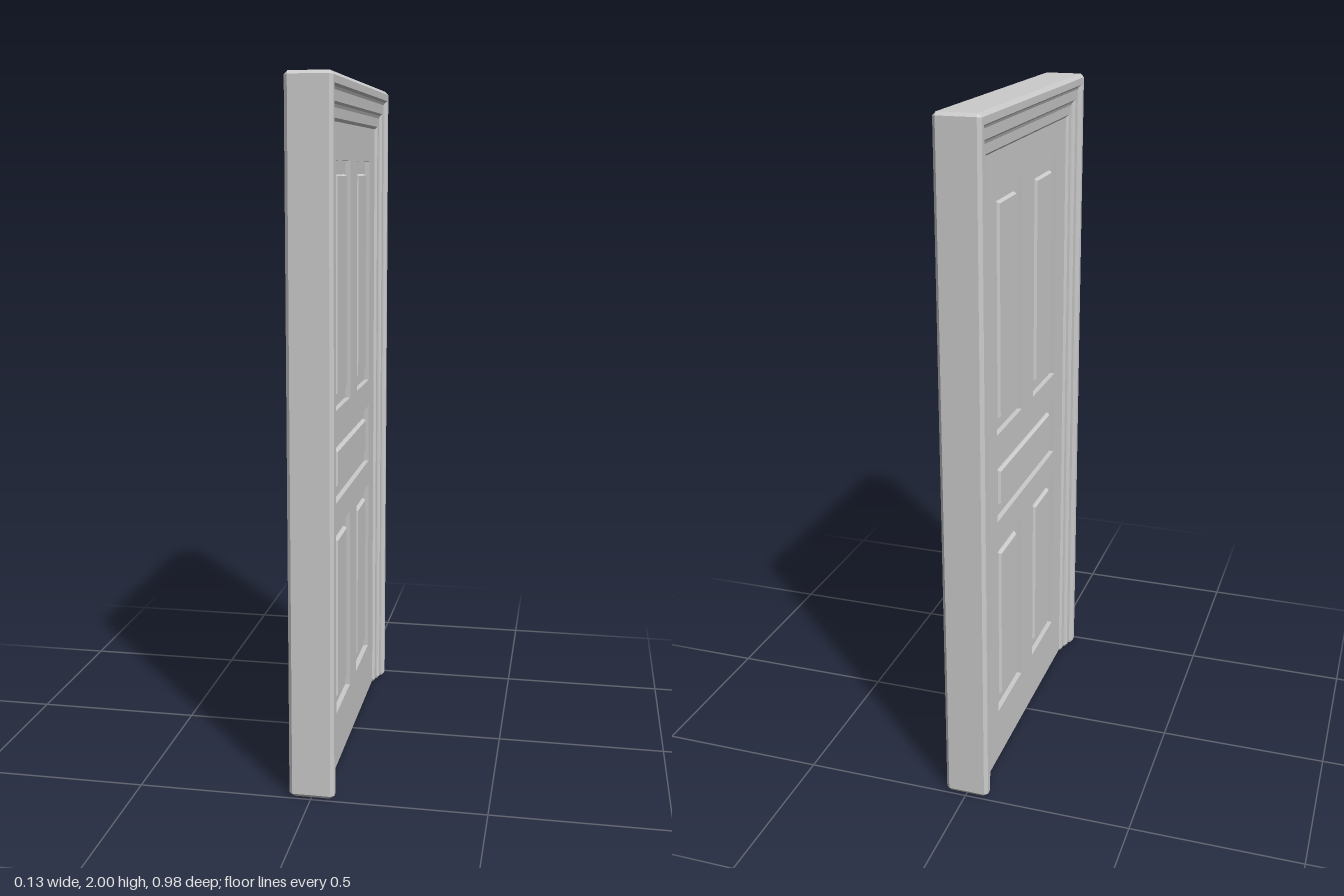
import * as THREE from 'three';

const material = new THREE.MeshStandardMaterial({ color: 0xcccccc, flatShading: true });
const HALF_WIDTH = 0.49, HEIGHT = 2;
const DOOR = 0.035;      // half thickness of the door leaf
const CORE = 0.02;       // half thickness at the bottom of the panel recesses
const MARGIN = 0.038;    // flat band around each raised panel

// Moulding section: [distance in from the outer edge, half depth]
const MOULDING = [
  [0, 0.055], [0.009, 0.065], [0.026, 0.065], [0.031, 0.057], [0.037, 0.054],
  [0.062, 0.053], [0.067, 0.047], [0.074, 0.044], [0.097, 0.043], [0.102, 0.037], [0.107, 0.03],
];

// Panel openings: [z min, y min, z max, y max]
const PANELS = [
  [0.058, 1.08, 0.29, 1.775], [-0.29, 1.08, -0.058, 1.775],
  [-0.29, 0.81, 0.29, 0.995],
  [0.058, 0.17, 0.29, 0.73], [-0.29, 0.17, -0.058, 0.73],
];

function add(parent, name, geometry) {
  const mesh = new THREE.Mesh(geometry, material);
  mesh.name = name;
  parent.add(mesh);
  return mesh;
}

function rectangle(PathType, [x0, y0, x1, y1]) {
  const path = new PathType();
  path.moveTo(x0, y0).lineTo(x1, y0).lineTo(x1, y1).lineTo(x0, y1).closePath();
  return path;
}

// Sweeps the mirrored moulding section up one jamb, across the head and down the other
function frameGeometry() {
  const section = [...MOULDING, ...MOULDING.map(([d, x]) => [d, -x]).reverse()];
  const corner = (d) => Math.max(0, 0.009 - d);
  const foot = (s) => ([d, x]) => [x * 0.9, 0, s * (HALF_WIDTH - (d + (0.053 - d) * 0.1))];
  const ankle = (s) => ([d, x]) => [x, 0.008, s * (HALF_WIDTH - d)];
  const shoulder = (s) => ([d, x]) => [x, HEIGHT - 1.18 * d - corner(d), s * (HALF_WIDTH - d)];
  const head = (s) => ([d, x]) => [x, HEIGHT - 1.18 * d, s * (HALF_WIDTH - d - corner(d))];
  const stations = [foot(1), ankle(1), shoulder(1), head(1), head(-1), shoulder(-1), ankle(-1), foot(-1)];

  const n = section.length;
  const positions = stations.flatMap((place) => section.flatMap(place));
  const index = [];
  for (let i = 0; i < stations.length - 1; i++) {
    for (let j = 0; j < n; j++) {
      const k = (j + 1) % n;
      const a = i * n + j, b = i * n + k, c = a + n, d = b + n;
      index.push(a, b, c, b, d, c);
    }
  }
  // End caps under both jambs
  const last = (stations.length - 1) * n;
  for (let j = 0; j < MOULDING.length - 1; j++) {
    const a = j, b = n - 1 - j, c = j + 1, d = n - 2 - j;
    index.push(a, b, c, b, d, c);
    index.push(last + a, last + c, last + b, last + b, last + c, last + d);
  }
  const indexed = new THREE.BufferGeometry();
  indexed.setAttribute('position', new THREE.Float32BufferAttribute(positions, 3));
  indexed.setIndex(index);
  const geometry = indexed.toNonIndexed();
  geometry.computeVertexNormals();
  return geometry;
}

export function createModel() {
  const model = new THREE.Group();
  model.name = 'panelledDoor';

  add(model, 'doorFrame', frameGeometry());

  // The leaf is drawn flat in XY, then turned to face along x
  const leaf = new THREE.Group();
  leaf.name = 'doorLeaf';
  leaf.rotation.y = Math.PI / 2;
  model.add(leaf);

  // Stiles and rails with five openings
  const outline = rectangle(THREE.Shape, [-0.4, 0.005, 0.4, 1.89]);
  outline.holes = PANELS.map((p) => rectangle(THREE.Path, p));
  const rails = new THREE.ExtrudeGeometry(outline, { depth: 2 * DOOR, bevelEnabled: false });
  add(leaf, 'stilesAndRails', rails.translate(0, 0, -DOOR));

  PANELS.forEach(([x0, y0, x1, y1]) => {
    // Recessed backing of the opening
    const backing = new THREE.BoxGeometry(x1 - x0 + 0.01, y1 - y0 + 0.01, 2 * CORE);
    add(leaf, 'panelRecess', backing.translate((x0 + x1) / 2, (y0 + y1) / 2, 0));

    // Raised field, bevelled on both faces
    const bevel = 0.005, depth = 2 * (DOOR - 0.003 - 0.008);
    const field = rectangle(THREE.Shape, [x0 + MARGIN, y0 + MARGIN, x1 - MARGIN, y1 - MARGIN]);
    const raised = new THREE.ExtrudeGeometry(field, {
      depth, bevelThickness: 0.008, bevelSize: bevel, bevelOffset: -bevel, bevelSegments: 1,
    });
    add(leaf, 'raisedPanel', raised.translate(0, 0, -depth / 2));
  });

  return model;
}
